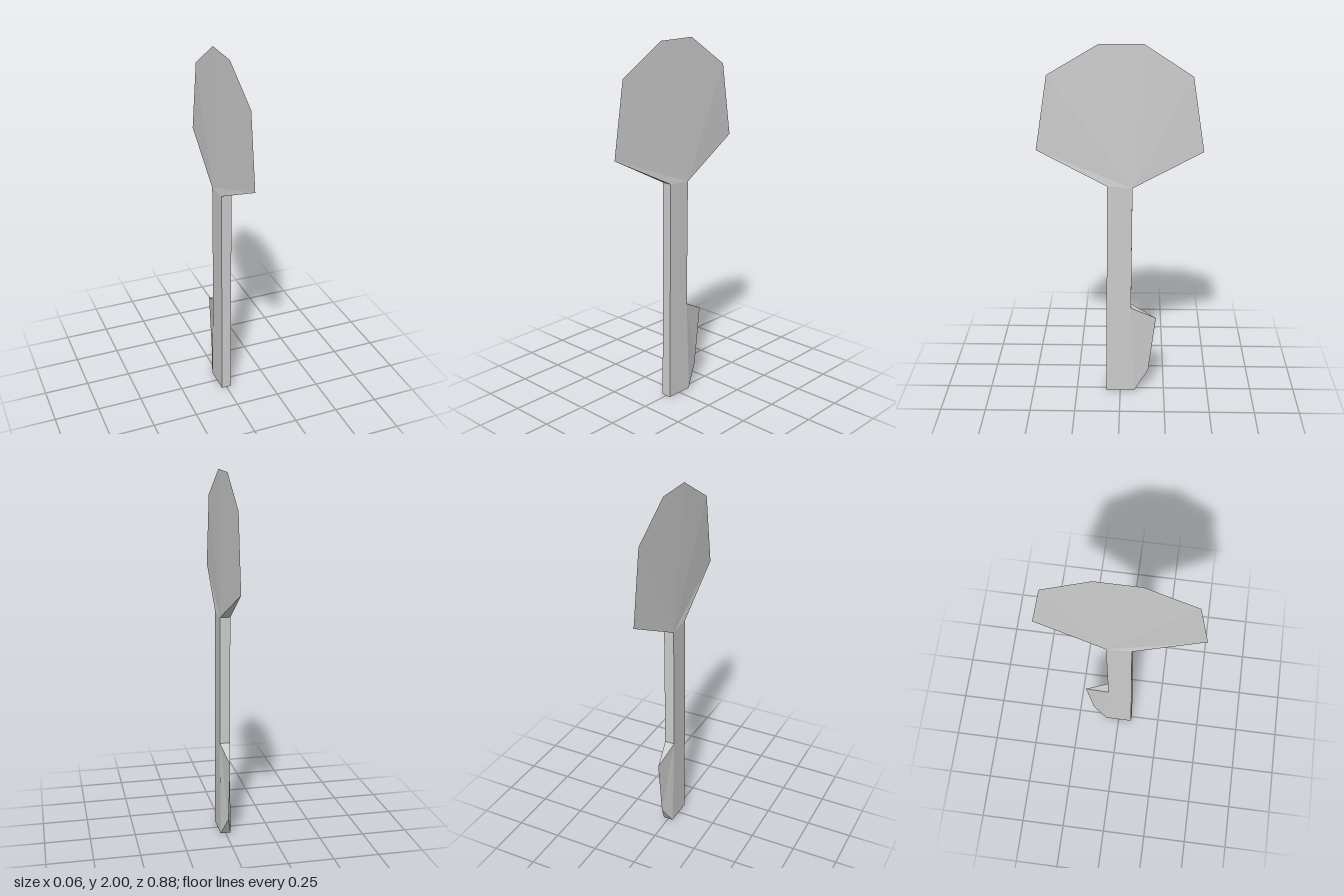
import * as THREE from 'three';

const T = 0.028; // half thickness of the shaft

// Outline points are [z, y, half thickness, joint?], counter-clockwise seen from +x.
// Both sides are fanned from the first point; edges leaving a joint point stay open.
function bevelledPlate(name, outline, material) {
  const pos = [];
  const at = ([z, y, h], side) => [side * h, y, z];
  const tri = (a, b, c) => pos.push(...a, ...b, ...c);
  const n = outline.length;
  for (let i = 1; i < n - 1; i++) {
    const [a, b, c] = [outline[0], outline[i], outline[i + 1]];
    tri(at(a, 1), at(b, 1), at(c, 1));
    tri(at(a, -1), at(c, -1), at(b, -1));
  }
  // rim: a point with no thickness is a knife edge and needs fewer triangles
  outline.forEach((a, i) => {
    const b = outline[(i + 1) % n];
    if (a[3]) return;
    if (a[2] > 0) tri(at(a, 1), at(a, -1), at(b, -1));
    if (b[2] > 0) tri(at(a, 1), at(b, -1), at(b, 1));
  });
  const geometry = new THREE.BufferGeometry();
  geometry.setAttribute('position', new THREE.Float32BufferAttribute(pos, 3));
  geometry.computeVertexNormals();
  const mesh = new THREE.Mesh(geometry, material);
  mesh.name = name;
  return mesh;
}

export function createModel() {
  const group = new THREE.Group();
  group.name = 'key';
  const material = new THREE.MeshStandardMaterial({ color: 0xcccccc, flatShading: true });

  // corners shared between the parts
  const neckBack = [-0.065, 1.24, T];
  const neckFront = [0.07, 1.25, T];
  const toothTop = [-0.06, 0.53, T];
  const tipBack = [-0.08, 0, T];
  const joint = (p) => [...p, true];

  // wide head, thinning to a sharp rim
  group.add(bevelledPlate('head', [
    neckBack, [-0.44, 1.435, 0], [-0.375, 1.835, 0], [-0.12, 2, 0],
    [0.11, 2, 0], [0.38, 1.84, 0], [0.445, 1.44, 0], joint(neckFront),
  ], material));

  // straight shaft
  group.add(bevelledPlate('shaft', [
    toothTop, joint(neckBack), neckFront, [0.08, 0, T], joint(tipBack),
  ], material));

  // wedge-shaped tooth at the lower back
  group.add(bevelledPlate('tooth', [
    joint(toothTop), tipBack, [-0.16, 0.12, 0], [-0.2, 0.455, 0],
  ], material));

  return group;
}
